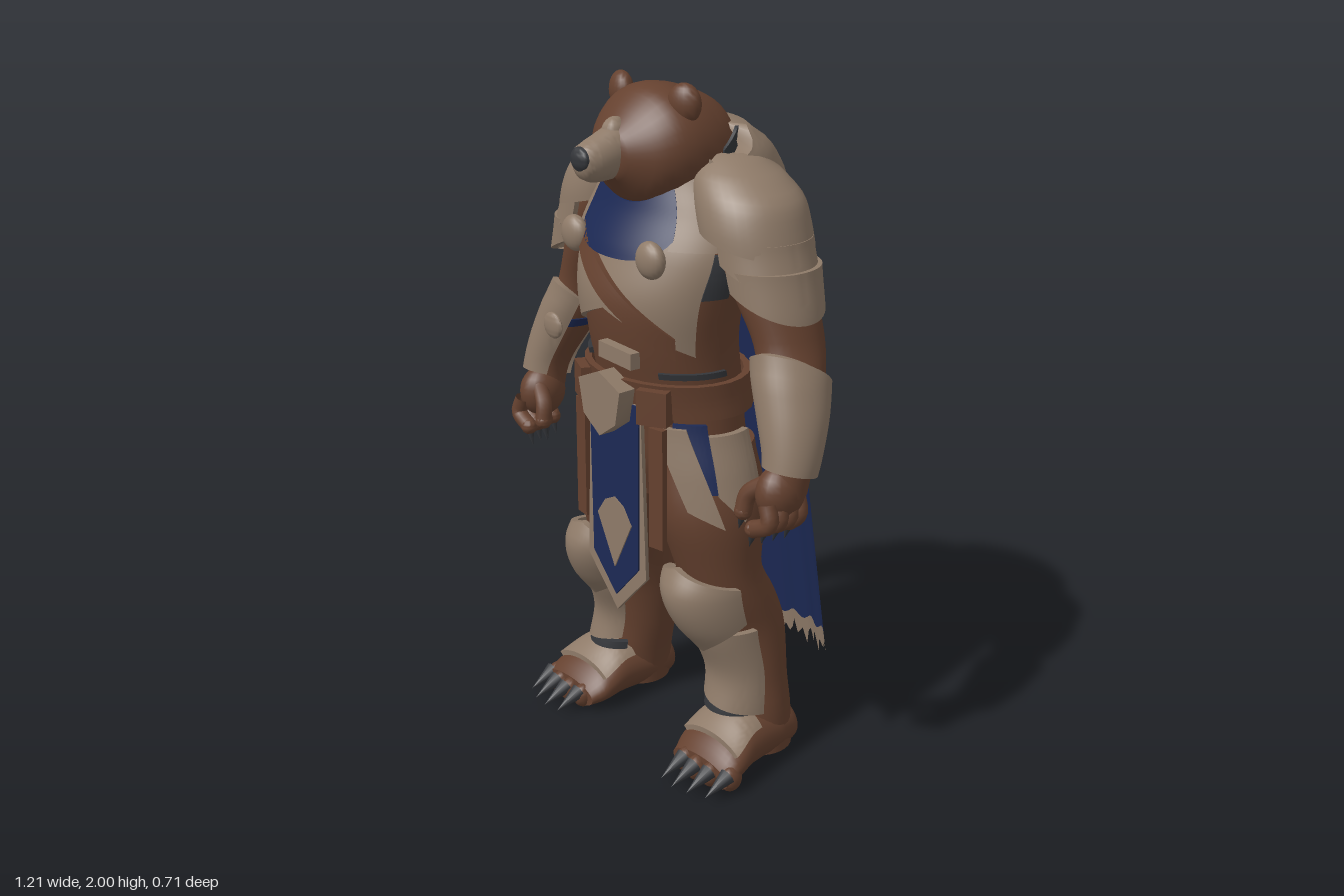
import * as THREE from 'three';
import { toCreasedNormals } from 'three/addons/utils/BufferGeometryUtils.js';

const paint = (name, color) => new THREE.MeshStandardMaterial({ name, color, side: THREE.DoubleSide });
const { clamp, lerp } = THREE.MathUtils;

// Surface from a grid of points
function grid(nu, nv, fn) {
  const pos = [], idx = [];
  for (let j = 0; j <= nv; j++) for (let i = 0; i <= nu; i++) pos.push(...fn(i, j));
  for (let j = 0; j < nv; j++) for (let i = 0; i < nu; i++) {
    const a = j * (nu + 1) + i, b = a + nu + 1;
    idx.push(a, a + 1, b + 1, a, b + 1, b);
  }
  const g = new THREE.BufferGeometry();
  g.setAttribute('position', new THREE.Float32BufferAttribute(pos, 3));
  g.setIndex(idx);
  return g;
}

// Smooth body through rings [y, cx, cz, rx, rz]; angle 0 faces front, PI/2 faces +x
function limb(rings) {
  const n = rings.length;
  const at = (y, t, off = 0, k = 1) => {
    y = clamp(y, rings[0][0], rings[n - 1][0]);
    let s = 0;
    while (s < n - 2 && y > rings[s + 1][0]) s++;
    const p = [s - 1, s, s + 1, s + 2].map(q => rings[clamp(q, 0, n - 1)]);
    const f = (y - p[1][0]) / (p[2][0] - p[1][0]);
    const v = c => {
      const a = (p[2][c] - p[0][c]) / 2, b = (p[3][c] - p[1][c]) / 2, d = p[2][c] - p[1][c];
      return p[1][c] + f * (a + f * (3 * d - 2 * a - b + f * (a + b - 2 * d)));
    };
    return [v(1) + k * (v(3) + off) * Math.sin(t), y, v(2) + k * (v(4) + off) * Math.cos(t)];
  };
  const y0 = rings[0][0], y1 = rings[n - 1][0];
  const solid = () => grid(32, 30, (i, j) =>
    at(lerp(y0, y1, (clamp(j, 1, 29) - 1) / 28), (i % 32) / 32 * Math.PI * 2, 0, j % 30 ? 1 : 0));
  // Plate lying on the body between two angles, with its rim turned inwards
  const plate = (a0, a1, lo, hi, off = 0.02, skew = 0, depth = 0.02) => grid(30, 14, (i, j) => {
    const u = (clamp(i, 1, 29) - 1) / 28, v = (clamp(j, 1, 13) - 1) / 12;
    const t = lerp(a0, a1, u), edge = i % 30 === 0 || j % 14 === 0;
    const bot = typeof lo === 'function' ? lo(t) : lo, top = typeof hi === 'function' ? hi(t) : hi;
    return at(lerp(bot, top, v), t + skew * (1 - v), edge ? off - depth : off);
  });
  return { solid, plate };
}

const place = (g, x, y, z, rx = 0, ry = 0, rz = 0) => g.rotateX(rx).rotateY(ry).rotateZ(rz).translate(x, y, z);
const ball = (x, y, z, a, b, c) => new THREE.SphereGeometry(1, 20, 14).scale(a, b, c).translate(x, y, z);
const box = (w, h, d, x, y, z, ry = 0) => place(new THREE.BoxGeometry(w, h, d), x, y, z, 0, ry);
const slab = (pts, depth, z) => new THREE.ExtrudeGeometry(
  new THREE.Shape(pts.map(p => new THREE.Vector2(...p))), { depth, bevelEnabled: false }).translate(0, 0, z);
const forward = g => g.rotateX(Math.PI / 2);

// Reflected copy with its corners put back in order
function reflect(geo) {
  const g = geo.clone().scale(-1, 1, 1);
  for (const a of Object.values(g.attributes)) {
    for (let i = 0; i < a.count; i += 3) for (let c = 0; c < a.itemSize; c++) {
      const k = a.getComponent(i + 1, c);
      a.setComponent(i + 1, c, a.getComponent(i + 2, c));
      a.setComponent(i + 2, c, k);
    }
  }
  return g;
}

export function createModel() {
  const root = new THREE.Group();
  root.name = 'armouredBear';
  const fur = paint('brown fur', 0x65412f), plateMat = paint('taupe armour', 0x8e7a68);
  const cloth = paint('navy cloth', 0x1c2954), dark = paint('charcoal', 0x34363a);
  const add = (name, geo, mat) => {
    const mesh = new THREE.Mesh(toCreasedNormals(geo, 0.8), mat);
    mesh.name = name;
    root.add(mesh);
    return mesh;
  };
  const pair = (name, geo, mat) => {
    const left = add(name + 'Left', geo, mat);
    const right = new THREE.Mesh(reflect(left.geometry), mat);
    right.name = name + 'Right';
    root.add(right);
  };
  const PI = Math.PI;

  // Torso, breastplate, scarf and chest straps
  const torso = limb([[0.8, 0, 0.02, 0.17, 0.11], [0.92, 0, 0.02, 0.25, 0.16], [1.05, 0, 0.03, 0.25, 0.17],
    [1.15, 0, 0.04, 0.24, 0.18], [1.28, 0, 0.06, 0.24, 0.19], [1.42, 0, 0.06, 0.26, 0.2],
    [1.55, 0, 0.03, 0.28, 0.19], [1.66, 0, 0, 0.25, 0.17], [1.78, 0, 0, 0.17, 0.14]]);
  add('torso', torso.solid(), fur);
  add('breastplate', torso.plate(-1.15, 1.15, t => 1.39 - 0.1 * Math.abs(t), 1.6, 0.015), plateMat);
  const slope = t => 1.56 - 0.26 * (t + 0.6) / 1.5;
  add('chestStrap', torso.plate(-0.6, 0.9, t => slope(t) - 0.032, t => slope(t) + 0.032, 0.03), fur);
  add('scarf', torso.plate(-0.66, 0.66, t => 1.53 + 0.25 * t ** 4 + 0.04 * t * t, t => 1.675 + 0.15 * t * t, 0.03), cloth);
  pair('sideStrap', torso.plate(1.15, 1.5, 1.44, 1.56, 0.02), dark);
  pair('collarPlate', torso.plate(0.63, 2.2, 1.57, 1.78, 0.028), plateMat);
  pair('shoulderYoke', ball(0.19, 1.715, -0.015, 0.115, 0.09, 0.125), plateMat);
  add('chestBossRight', ball(-0.195, 1.55, 0.215, 0.05, 0.052, 0.03), plateMat);
  add('chestBossLeft', ball(0.16, 1.55, 0.24, 0.052, 0.052, 0.03), plateMat);
  add('frontMedallion', ball(-0.175, 1.305, 0.315, 0.04, 0.038, 0.013), plateMat);
  add('frontBar', box(0.15, 0.045, 0.03, 0.14, 1.305, 0.335, -0.08), plateMat);

  // Head
  add('head', forward(limb([[-0.13, 0, -1.8, 0.08, 0.07], [-0.08, 0, -1.8, 0.15, 0.13], [0, 0, -1.805, 0.185, 0.16],
    [0.08, 0, -1.815, 0.192, 0.168], [0.14, 0, -1.815, 0.178, 0.158], [0.19, 0, -1.805, 0.145, 0.128],
    [0.235, 0, -1.805, 0.09, 0.08], [0.255, 0, -1.805, 0.055, 0.06]]).solid()), fur);
  add('muzzle', forward(limb([[0.18, 0, -1.825, 0.06, 0.075], [0.25, 0, -1.812, 0.058, 0.07],
    [0.31, 0, -1.8, 0.053, 0.058], [0.34, 0, -1.8, 0.042, 0.045], [0.35, 0, -1.802, 0.025, 0.03]]).solid()), plateMat);
  add('noseBridge', ball(0, 1.862, 0.225, 0.034, 0.045, 0.04), plateMat);
  add('nose', ball(0, 1.808, 0.342, 0.037, 0.034, 0.018), dark);
  pair('eye', ball(0.08, 1.865, 0.203, 0.013, 0.011, 0.012), dark);
  pair('ear', place(ball(0, 0, 0, 0.05, 0.055, 0.032), 0.13, 1.942, 0.095, 0, 0.3), fur);

  // Hood lying on the shoulders
  const hood = limb([[1.53, 0, -0.11, 0.19, 0.19], [1.64, 0, -0.1, 0.245, 0.215], [1.74, 0, -0.07, 0.26, 0.205],
    [1.82, 0, -0.05, 0.245, 0.165], [1.88, 0, -0.02, 0.2, 0.115]]);
  const hoodTop = t => 1.745 + 0.13 * Math.min(1, (PI - 0.85 - Math.abs(t - PI)) * 0.9);
  add('hood', hood.plate(0.85, 2 * PI - 0.85, t => 1.53 + 0.1 * Math.abs(t - PI) ** 1.2,
    hoodTop, 0.006, 0, 0.06), plateMat);
  add('hoodLining', limb([[1.7, 0, 0, 0.185, 0.12], [1.88, 0, 0, 0.197, 0.13]])
    .plate(1.5, 2 * PI - 1.5, 1.71, t => hoodTop(t) - 0.005, 0, 0, 0.01), dark);

  // Cape with a ragged hem
  const cape = (u, y) => {
    const v = (1.62 - y) / 1.3;
    return [u * (0.255 + 0.17 * v) + 0.025 * v, y, -0.205 - 0.135 * v + u * u * (0.06 + 0.07 * v)
      + 0.03 * v * u * u * u + 0.003 * v * Math.sin(u * 19)];
  };
  const hemTop = u => 0.285 + 0.12 * Math.abs(u) + 0.01 * Math.sin(u * 23);
  add('cape', grid(48, 24, (i, j) => {
    const u = i / 24 - 1;
    return cape(u, lerp(hemTop(u), 1.63, j / 24));
  }), cloth);
  add('capeHem', grid(48, 1, (i, j) => {
    const u = i / 24 - 1;
    return cape(u, j ? hemTop(u) : hemTop(u) - 0.05 - 0.02 * (i % 3 === 0) - 0.015 * Math.sin(i * 2.3));
  }), plateMat);

  // Belt, buckle and hanging cloths
  add('belt', torso.plate(-PI, PI, 1.09, 1.19, 0.028), fur);
  pair('thinBelt', torso.plate(0.65, 1.6, 1.205, 1.222, 0.012), dark);
  pair('beltPouch', box(0.09, 0.1, 0.05, 0.15, 1.13, 0.22, 0.45), fur);
  add('buckle', slab([[-0.09, 1.17], [-0.07, 1.07], [0, 1.02], [0.07, 1.07], [0.09, 1.17], [0, 1.21]], 0.055, 0.24), plateMat);
  add('tabardBorder', slab([[-0.11, 1.12], [-0.13, 0.6], [0, 0.46], [0.13, 0.6], [0.11, 1.12]], 0.012, 0.226), plateMat);
  add('tabard', slab([[-0.108, 1.12], [-0.1, 0.62], [0, 0.51], [0.1, 0.62], [0.108, 1.12]], 0.006, 0.237), cloth);
  add('tabardDiamond', slab([[-0.075, 0.75], [0, 0.6], [0.075, 0.75], [0.04, 0.8], [0, 0.82], [-0.04, 0.8]], 0.005, 0.242), plateMat);
  pair('hangingStrap', box(0.05, 0.36, 0.02, 0.165, 0.89, 0.222, 0.15), fur);
  const skirt = limb([[0.76, 0, 0.03, 0.345, 0.2], [0.92, 0, 0.03, 0.31, 0.195], [1.08, 0, 0.03, 0.26, 0.185]]);
  pair('hipCloth', skirt.plate(0.7, 1.15, 0.88, 1.07, 0), cloth);
  pair('frontTasset', skirt.plate(0.48, 0.87, t => 0.83 - 0.12 * (t - 0.5), 1.06, 0.014, 0.3), plateMat);
  pair('hipTasset', skirt.plate(1.15, 1.85, t => 0.8 + 0.25 * Math.abs(t - 1.45), 1.04, 0.008), plateMat);

  // Legs, knee guards and greaves
  const leg = limb([[0.03, 0.28, -0.07, 0.1, 0.1], [0.15, 0.27, -0.065, 0.107, 0.105], [0.25, 0.25, -0.065, 0.112, 0.103],
    [0.42, 0.228, -0.055, 0.118, 0.118], [0.52, 0.222, -0.01, 0.118, 0.13], [0.62, 0.205, 0.03, 0.125, 0.125],
    [0.8, 0.18, 0.032, 0.143, 0.17], [0.98, 0.14, 0.03, 0.125, 0.16]]);
  pair('leg', leg.solid(), fur);
  const greave = limb([[0.17, 0.27, -0.01, 0.1, 0.12], [0.3, 0.26, -0.02, 0.1, 0.11], [0.45, 0.24, 0, 0.11, 0.14]]);
  pair('greave', greave.plate(-0.8, 1.5, t => 0.21 - 0.02 * t, 0.45, 0.005), plateMat);
  pair('ankleStrap', greave.plate(-1, 1.5, 0.185, 0.208, 0), dark);
  const knee = limb([[0.36, 0.25, 0, 0.09, 0.11], [0.48, 0.235, 0.04, 0.115, 0.155],
    [0.58, 0.22, 0.06, 0.125, 0.165], [0.67, 0.21, 0.05, 0.115, 0.14]]);
  pair('kneeGuard', knee.plate(-1.2, 1.5, t => 0.38 + 0.07 * Math.abs(t), t => 0.655 - 0.04 * Math.abs(t), 0.006), plateMat);

  // Feet with clawed toes
  const foot = limb([[-0.17, 0.28, -0.07, 0.06, 0.045], [-0.155, 0.28, -0.075, 0.085, 0.07], [-0.08, 0.28, -0.085, 0.105, 0.083],
    [0.05, 0.29, -0.09, 0.115, 0.088], [0.14, 0.3, -0.065, 0.128, 0.063], [0.19, 0.31, -0.045, 0.118, 0.042]]);
  pair('foot', forward(foot.solid()), fur);
  pair('footPlate', forward(foot.plate(PI - 0.95, PI + 0.95, 0.02, 0.14, 0.016)), plateMat);
  for (let i = 0; i < 4; i++) {
    const x = 0.245 + i * 0.054, z = 0.2 - 0.008 * (i - 1) ** 2;
    pair('toe' + i, ball(x, 0.045, z - 0.01, 0.029, 0.039, 0.036), fur);
    pair('toeClaw' + i, place(new THREE.ConeGeometry(0.026, 0.095, 10), x + 0.004, 0.042, z + 0.05, PI / 2 + 0.4), dark);
  }

  // Arms and bracers
  const arm = limb([[0.96, 0.53, 0.085, 0.055, 0.06], [1.05, 0.53, 0.065, 0.058, 0.066], [1.15, 0.5, 0.035, 0.075, 0.083],
    [1.25, 0.46, 0.005, 0.085, 0.097], [1.33, 0.425, -0.02, 0.085, 0.105], [1.45, 0.368, -0.02, 0.1, 0.118],
    [1.58, 0.31, -0.015, 0.11, 0.125], [1.7, 0.25, -0.01, 0.09, 0.11]]);
  pair('arm', arm.solid(), fur);
  pair('bracerBand', arm.plate(-PI, PI, 1.19, 1.215, 0.008), cloth);
  pair('bracer', arm.plate(-0.9, PI + 0.3, t => 1.02 + 0.02 * Math.cos(t), t => 1.265 + 0.065 * Math.cos(t - 0.4), 0.018), plateMat);

  // Layered shoulder guards
  const shoulder = limb([[1.55, 0.31, -0.01, 0.148, 0.15], [1.64, 0.29, -0.01, 0.146, 0.15], [1.71, 0.26, -0.015, 0.145, 0.14],
    [1.77, 0.21, -0.02, 0.115, 0.11], [1.81, 0.18, -0.03, 0.06, 0.06]]);
  pair('shoulderGuard', shoulder.plate(-0.8, PI + 0.8, t => 1.605 - 0.04 * Math.sin(t), 1.81, 0.006), plateMat);
  for (let i = 0; i < 2; i++) {
    const y = 1.49 - 0.07 * i, x = 0.338 + 0.035 * i;
    const lame = limb([[y - 0.03, x + 0.02, -0.005, 0.135 - 0.015 * i, 0.14 - 0.01 * i], [y + 0.13, x - 0.02, -0.01, 0.13, 0.14]]);
    pair('shoulderLame' + i, lame.plate(-0.15, PI + 0.15, t => y + 0.05 - 0.065 * Math.sin(t), y + 0.12, 0.004), plateMat);
  }

  // Hands with curled fingers
  const finger = (name, ...pts) => {
    const p = pts.map(q => new THREE.Vector3(...q)), e = p[2];
    pair(name, new THREE.TubeGeometry(new THREE.CatmullRomCurve3(p), 10, 0.025, 10), fur);
    pair(name + 'Tip', ball(e.x, e.y, e.z, 0.025, 0.025, 0.025), fur);
    pair(name + 'Claw', place(new THREE.ConeGeometry(0.017, 0.06, 8), e.x - 0.008, e.y - 0.03, e.z, PI, 0, -0.3), dark);
  };
  pair('palm', ball(0.525, 0.965, 0.1, 0.06, 0.08, 0.075), fur);
  for (let i = 0; i < 4; i++) {
    const z = 0.055 + i * 0.036;
    finger('finger' + i, [0.54, 0.95, z], [0.555, 0.9, z + 0.005], [0.525 - 0.008 * i, 0.87, z + 0.01]);
  }
  finger('thumb', [0.5, 0.99, 0.13], [0.453, 0.95, 0.15], [0.445, 0.9, 0.16]);

  return root;
}
